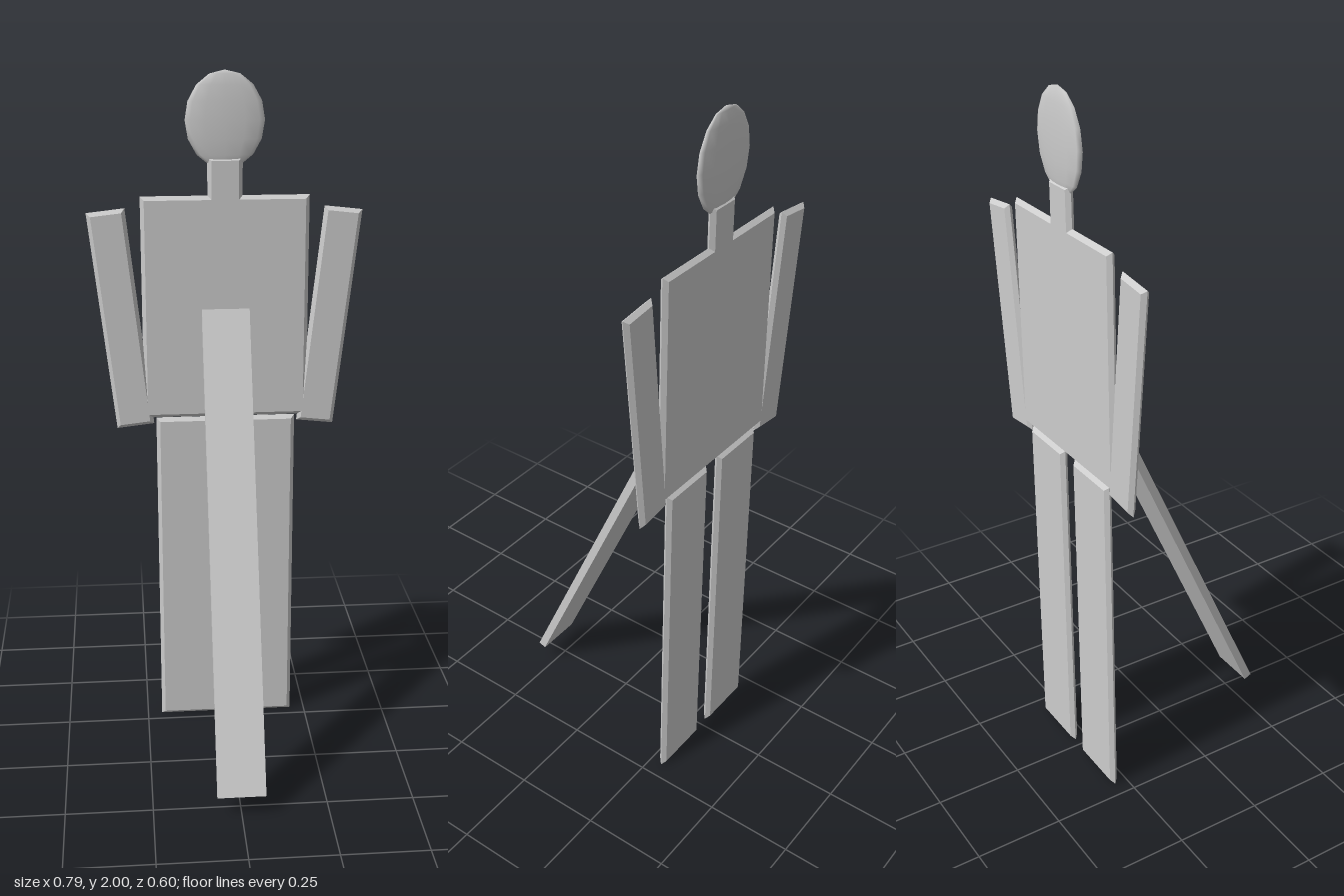
import * as THREE from 'three';

const Z = -0.287; // plane of the flat figure

export function createModel() {
  const group = new THREE.Group();
  const grey = new THREE.MeshStandardMaterial({ color: 0xcccccc });
  grey.name = 'lightGrey';

  const add = (name, geometry, x, y, z, rx = 0, rz = 0) => {
    const mesh = new THREE.Mesh(geometry, grey);
    mesh.name = name;
    mesh.position.set(x, y, z);
    mesh.rotation.set(rx, 0, rz);
    group.add(mesh);
    return mesh;
  };

  // Thin rectangular board whose edges taper to a ridge all round
  const plate = (w, h) => {
    const b = 0.011, depth = 0.001;
    const x = w / 2 - b, y = h / 2 - b;
    const shape = new THREE.Shape([
      new THREE.Vector2(-x, -y), new THREE.Vector2(x, -y),
      new THREE.Vector2(x, y), new THREE.Vector2(-x, y),
    ]);
    const g = new THREE.ExtrudeGeometry(shape, {
      depth, steps: 1, bevelEnabled: true,
      bevelThickness: b, bevelSize: b, bevelSegments: 1,
    });
    return g.translate(0, 0, -depth / 2);
  };

  // Body
  add('torso', plate(0.482, 0.655), 0, 1.3285, Z);
  add('neck', plate(0.1, 0.15), 0, 1.69, Z);

  // Limbs, mirrored
  for (const [side, s] of [['left', 1], ['right', -1]]) {
    add(side + 'Arm', plate(0.11, 0.645), s * 0.303, 1.297, Z, 0, -s * 0.112);
    add(side + 'Leg', plate(0.18, 1.0), s * 0.116, 0.5, Z);
  }

  // Flattened head
  const head = new THREE.SphereGeometry(1, 12, 8);
  head.scale(0.112, 0.135, 0.015);
  add('head', head, 0, 1.865, Z);

  // Leaning prop in front of the figure
  add('supportStrut', new THREE.BoxGeometry(0.138, 1.39, 0.024), 0, 0.692, 0.0065, -0.417);

  return group;
}
